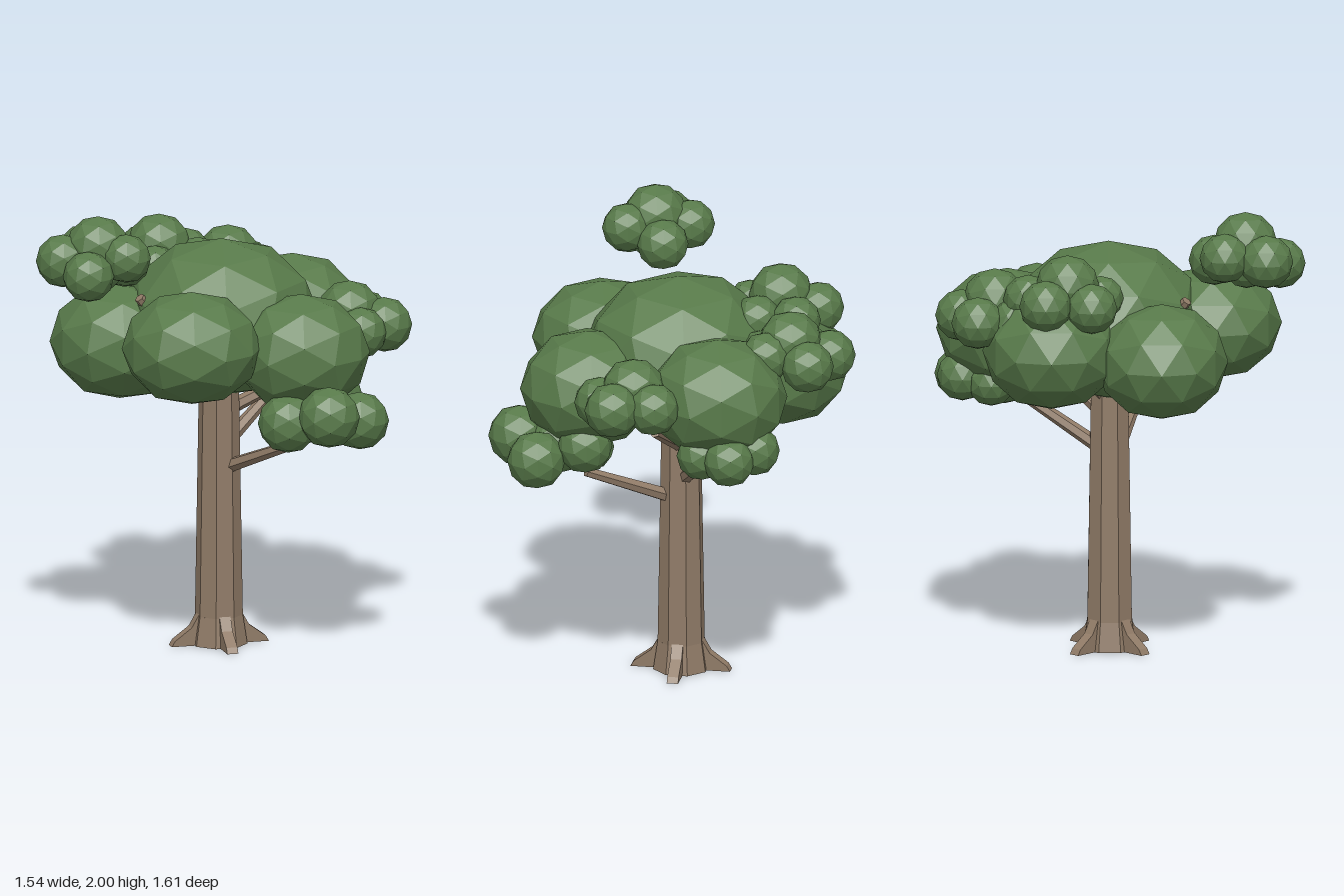
import * as THREE from 'three';

export function createModel() {
  const tree = new THREE.Group();
  tree.name = 'tree';
  const bark = new THREE.MeshStandardMaterial({ color: 0x907b67, flatShading: true });
  bark.name = 'bark brown';
  const leaf = new THREE.MeshStandardMaterial({ color: 0x587a4a, flatShading: true });
  leaf.name = 'leaf green';

  const add = (parent, name, geometry, material) => {
    const mesh = new THREE.Mesh(geometry, material);
    mesh.name = name;
    parent.add(mesh);
    return mesh;
  };

  // Trunk: a tapered octagon with a slightly flared foot
  const trunk = new THREE.Group();
  trunk.name = 'trunk';
  trunk.position.set(-0.09, 0, -0.045);
  tree.add(trunk);
  const stem = add(trunk, 'stem', new THREE.CylinderGeometry(0.088, 0.107, 1.15, 8), bark);
  stem.position.y = 0.575;
  stem.rotation.y = Math.PI / 8;
  const foot = add(trunk, 'foot', new THREE.CylinderGeometry(0.105, 0.125, 0.13, 8), bark);
  foot.position.y = 0.065;
  foot.rotation.y = Math.PI / 8;

  // Four wedge-shaped roots on the diagonals
  const wedge = new THREE.Shape([[0.04, 0], [0.22, 0], [0.205, 0.025], [0.13, 0.08], [0.095, 0.14], [0.04, 0.14]]
    .map(([x, y]) => new THREE.Vector2(x, y)));
  const rootGeometry = new THREE.ExtrudeGeometry(wedge, { depth: 0.05, bevelEnabled: false }).translate(0, 0, -0.025);
  for (let i = 0; i < 4; i++) {
    add(trunk, 'root', rootGeometry, bark).rotation.y = Math.PI / 4 + i * Math.PI / 2;
  }

  // Branches: tapered rods from the trunk towards each twig cluster
  const up = new THREE.Vector3(0, 1, 0);
  [
    [[-0.1, 1.14, -0.03], [-0.3, 1.59, 0.29]],
    [[-0.06, 0.79, -0.04], [0.34, 0.96, 0.06]],
    [[-0.08, 0.88, -0.07], [0.02, 1.13, -0.46]],
    [[-0.07, 1.04, -0.07], [0.27, 1.25, -0.36]],
    [[-0.09, 1.08, -0.05], [-0.42, 1.5, -0.24]],
  ].forEach(([a, b]) => {
    const start = new THREE.Vector3(...a), end = new THREE.Vector3(...b);
    const rod = add(tree, 'branch', new THREE.CylinderGeometry(0.023, 0.033, start.distanceTo(end), 6), bark);
    rod.position.copy(start).lerp(end, 0.5);
    rod.quaternion.setFromUnitVectors(up, end.sub(start).normalize());
  });

  // Faceted leaf ball shared by crown and clusters
  const ball = new THREE.IcosahedronGeometry(1, 1);
  const addBall = (parent, name, [x, y, z], [rx, ry, rz]) => {
    const mesh = add(parent, name, ball, leaf);
    mesh.position.set(x, y, z);
    mesh.scale.set(rx, ry, rz);
  };

  // Crown: large flattened masses
  const crown = new THREE.Group();
  crown.name = 'crown';
  tree.add(crown);
  [
    [[-0.08, 1.46, -0.05], [0.43, 0.35, 0.42]],
    [[-0.46, 1.355, 0.18], [0.31, 0.255, 0.29]],
    [[0.02, 1.425, 0.4], [0.305, 0.25, 0.305]],
    [[0.355, 1.365, 0.02], [0.3, 0.26, 0.3]],
    [[0.03, 1.4, -0.49], [0.305, 0.265, 0.31]],
    [[-0.44, 1.4, -0.3], [0.3, 0.26, 0.3]],
  ].forEach(([centre, radii]) => addBall(crown, 'leafMass', centre, radii));

  // Twig clusters: a middle ball with smaller balls around it, each x, y, z, radius
  const clusters = {
    frontCluster: [
      [-0.365, 1.86, 0.545, 0.14], [-0.49, 1.805, 0.635, 0.118], [-0.33, 1.765, 0.695, 0.112],
      [-0.22, 1.83, 0.555, 0.108], [-0.31, 1.775, 0.41, 0.112], [-0.485, 1.82, 0.455, 0.11],
      [-0.36, 1.76, 0.55, 0.1],
    ],
    leftCluster: [
      [0.48, 1.12, 0.08, 0.14], [0.595, 1.14, 0.205, 0.135], [0.4, 1.095, 0.22, 0.132],
      [0.3, 1.06, 0.08, 0.1], [0.64, 1.09, 0.01, 0.128], [0.46, 1.15, -0.1, 0.12],
    ],
    rightCluster: [
      [-0.49, 1.695, -0.23, 0.14], [-0.62, 1.635, -0.325, 0.115], [-0.45, 1.63, -0.4, 0.11],
      [-0.325, 1.63, -0.285, 0.108], [-0.43, 1.63, -0.085, 0.1], [-0.6, 1.62, -0.125, 0.112],
    ],
    backRightCluster: [
      [-0.32, 1.6, -0.545, 0.14], [-0.475, 1.53, -0.62, 0.115], [-0.31, 1.53, -0.69, 0.115],
      [-0.185, 1.56, -0.55, 0.112], [-0.26, 1.52, -0.42, 0.11], [-0.45, 1.52, -0.46, 0.115],
    ],
    backLeftCluster: [
      [0.385, 1.47, -0.36, 0.14], [0.53, 1.42, -0.41, 0.122], [0.38, 1.42, -0.505, 0.115],
      [0.495, 1.41, -0.265, 0.112], [0.29, 1.42, -0.28, 0.11], [0.28, 1.4, -0.43, 0.11],
    ],
    backCluster: [
      [0.04, 1.25, -0.61, 0.135], [0.11, 1.18, -0.695, 0.112], [-0.03, 1.2, -0.685, 0.112],
      [0.16, 1.18, -0.56, 0.11], [0.04, 1.17, -0.5, 0.11], [-0.08, 1.18, -0.56, 0.105],
    ],
  };
  for (const [name, balls] of Object.entries(clusters)) {
    const group = new THREE.Group();
    group.name = name;
    tree.add(group);
    balls.forEach(([x, y, z, r]) => addBall(group, 'leafBall', [x, y, z], [r, r, r]));
  }

  return tree;
}
